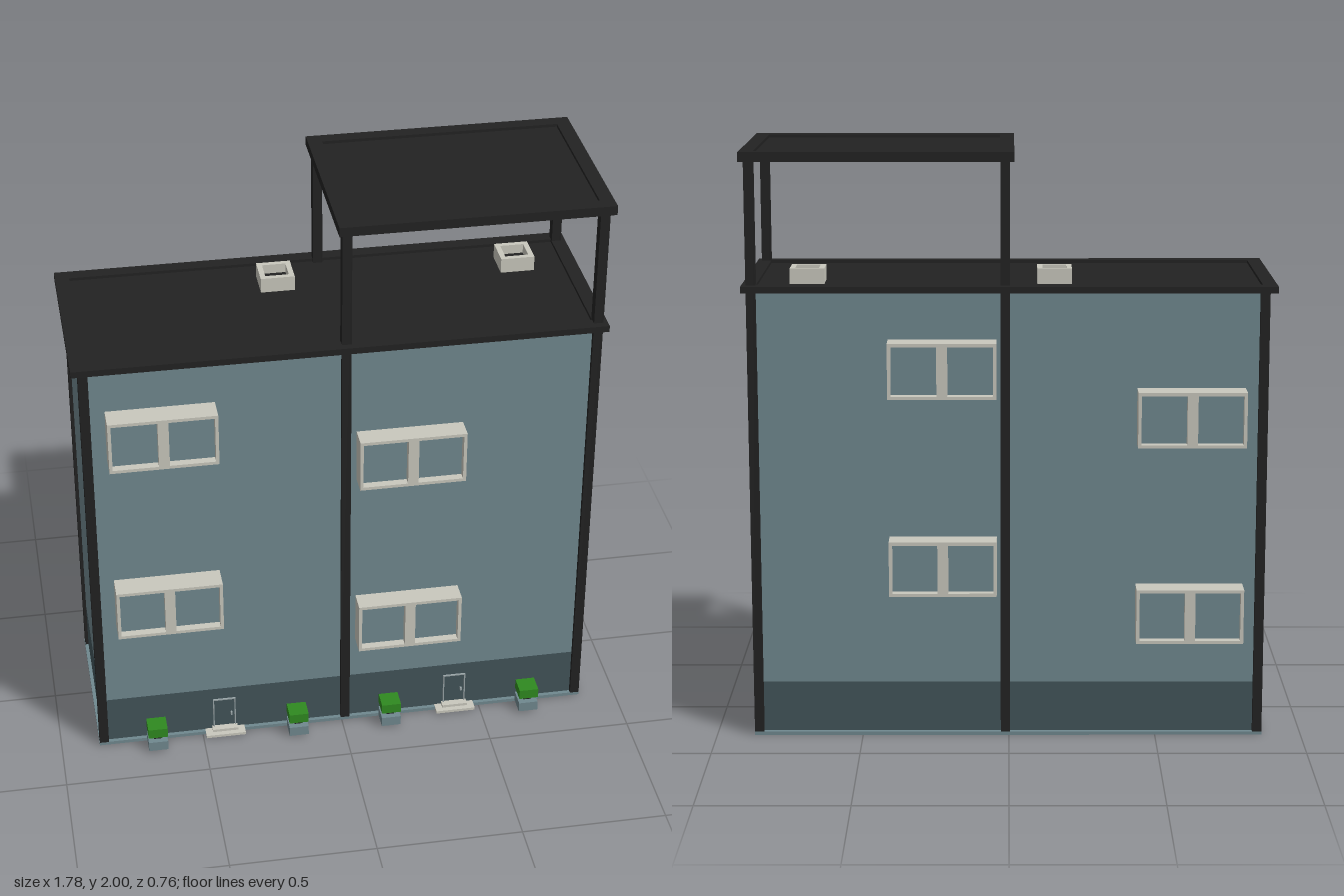
import * as THREE from 'three';

const mat = (name, color) => {
  const m = new THREE.MeshStandardMaterial({ color });
  m.name = name;
  return m;
};

export function createModel() {
  const M = {
    wall: mat('blue grey wall', 0x70888f),
    base: mat('dark slate base', 0x425459),
    trim: mat('black trim', 0x222222),
    cream: mat('cream frame', 0xc9c8bd),
    steel: mat('pale steel', 0x9aa5a8),
    green: mat('hedge green', 0x2f8a20),
  };
  const root = new THREE.Group();

  // box given by its min and max corners
  const box = (parent, name, m, [x0, y0, z0], [x1, y1, z1]) => {
    const mesh = new THREE.Mesh(new THREE.BoxGeometry(x1 - x0, y1 - y0, z1 - z0), m);
    mesh.position.set((x0 + x1) / 2, (y0 + y1) / 2, (z0 + z1) / 2);
    mesh.name = name;
    parent.add(mesh);
    return mesh;
  };
  const rect = (C, x0, y0, x1, y1) => {
    const s = new C();
    s.moveTo(x0, y0).lineTo(x1, y0).lineTo(x1, y1).lineTo(x0, y1).closePath();
    return s;
  };
  // rectangular plate with rectangular holes
  const plate = (name, m, outer, holes, depth) => {
    const s = rect(THREE.Shape, ...outer);
    s.holes = holes.map(h => rect(THREE.Path, ...h));
    const mesh = new THREE.Mesh(new THREE.ExtrudeGeometry(s, { depth, bevelEnabled: false }), m);
    mesh.name = name;
    return mesh;
  };
  // plate laid flat, rising from y
  const flatFrame = (parent, name, m, outer, holes, y, height) => {
    const f = plate(name, m, outer, holes, height);
    f.rotation.x = -Math.PI / 2;
    f.position.y = y;
    parent.add(f);
  };

  // hollow shell, open underneath
  const shell = (name, m, y0, y1) => {
    const g = new THREE.Group();
    g.name = name;
    flatFrame(g, name + 'Walls', m, [-0.855, -0.293, 0.86, 0.293],
      [[-0.843, -0.281, 0.848, 0.281]], y0, y1 - y0);
    root.add(g);
  };
  shell('upperStorey', M.wall, 0.187, 1.537);
  shell('plinth', M.base, 0.012, 0.187);
  flatFrame(root, 'groundRim', M.wall, [-0.867, -0.307, 0.872, 0.307],
    [[-0.843, -0.281, 0.848, 0.281]], 0, 0.012);

  // corner and middle columns; the middle and left ones carry the canopy
  for (const z of [-0.29, 0.29]) {
    for (const [x, top] of [[-0.85, 1.54], [0.012, 1.975], [0.855, 1.975]]) {
      box(root, 'column', M.trim, [x - 0.016, 0.012, z - 0.018], [x + 0.016, top, z + 0.018]);
    }
  }

  // roofs with a raised rim
  const roof = (name, x0, x1, y0, y1) => {
    const g = new THREE.Group();
    g.name = name;
    box(g, name + 'Deck', M.trim, [x0 + 0.01, y0, -0.32], [x1 - 0.01, y1 - 0.01, 0.32]);
    flatFrame(g, name + 'Rim', M.trim, [x0, -0.333, x1, 0.333],
      [[x0 + 0.048, -0.285, x1 - 0.048, 0.285]], y0, y1 - y0);
    root.add(g);
  };
  roof('mainRoof', -0.89, 0.886, 1.535, 1.557);
  roof('canopy', -0.018, 0.886, 1.968, 2.0);

  // open roof vents
  for (const x of [-0.153, 0.675]) {
    const g = new THREE.Group();
    g.name = 'roofVent';
    flatFrame(g, 'ventWalls', M.cream, [-0.058, -0.056, 0.058, 0.056],
      [[-0.04, -0.038, 0.04, 0.038]], 0, 0.053);
    box(g, 'ventShaft', M.trim, [-0.041, 0, -0.039], [0.041, 0.02, 0.039]);
    g.position.set(x, 1.546, -0.153);
    root.add(g);
  }

  // projecting bay windows with two panes
  const bayWindow = (x, y, side, reach) => {
    const g = new THREE.Group();
    g.name = 'bayWindow';
    const frame = plate('windowFrame', M.cream, [-0.181, -0.094, 0.181, 0.094],
      [[-0.17, -0.083, -0.018, 0.083], [0.018, -0.083, 0.17, 0.083]], reach - 0.27);
    frame.position.z = 0.27;
    g.add(frame);
    box(g, 'glass', M.wall, [-0.175, -0.088, reach - 0.035], [0.175, 0.088, reach - 0.028]);
    box(g, 'windowBack', M.cream, [-0.175, -0.088, 0.272], [0.175, 0.088, 0.278]);
    g.position.set(x, y, 0);
    if (side < 0) g.rotation.y = Math.PI;
    root.add(g);
  };
  for (const y of [0, 0.675]) {
    bayWindow(-0.604, 0.605 + y, 1, 0.378);
    bayWindow(0.23, 0.44 + y, 1, 0.368);
    bayWindow(0.222, 0.605 + y, -1, 0.38);
    bayWindow(-0.61, 0.44 + y, -1, 0.38);
  }

  // doors with thin frames and steps
  for (const x of [-0.42, 0.41]) {
    const g = new THREE.Group();
    g.name = 'door';
    const f = plate('doorFrame', M.steel, [-0.04, 0.012, 0.04, 0.142],
      [[-0.036, 0.02, 0.036, 0.138]], 0.008);
    f.position.z = 0.291;
    g.add(f);
    box(g, 'doorHandle', M.steel, [0.022, 0.07, 0.293], [0.028, 0.082, 0.302]);
    box(g, 'lowerStep', M.cream, [-0.07, 0.004, 0.29], [0.07, 0.014, 0.336]);
    box(g, 'upperStep', M.cream, [-0.045, 0.014, 0.29], [0.045, 0.024, 0.318]);
    g.position.x = x;
    root.add(g);
  }

  // potted hedges along the front
  for (const x of [-0.665, -0.165, 0.167, 0.667]) {
    const g = new THREE.Group();
    g.name = 'planter';
    box(g, 'pot', M.wall, [-0.034, 0.008, -0.034], [0.034, 0.044, 0.034]);
    box(g, 'stem', M.trim, [-0.014, 0.044, -0.014], [0.014, 0.066, 0.014]);
    box(g, 'hedge', M.green, [-0.034, 0.064, -0.034], [0.034, 0.1, 0.034]);
    g.position.set(x, 0, 0.343);
    root.add(g);
  }

  return root;
}
